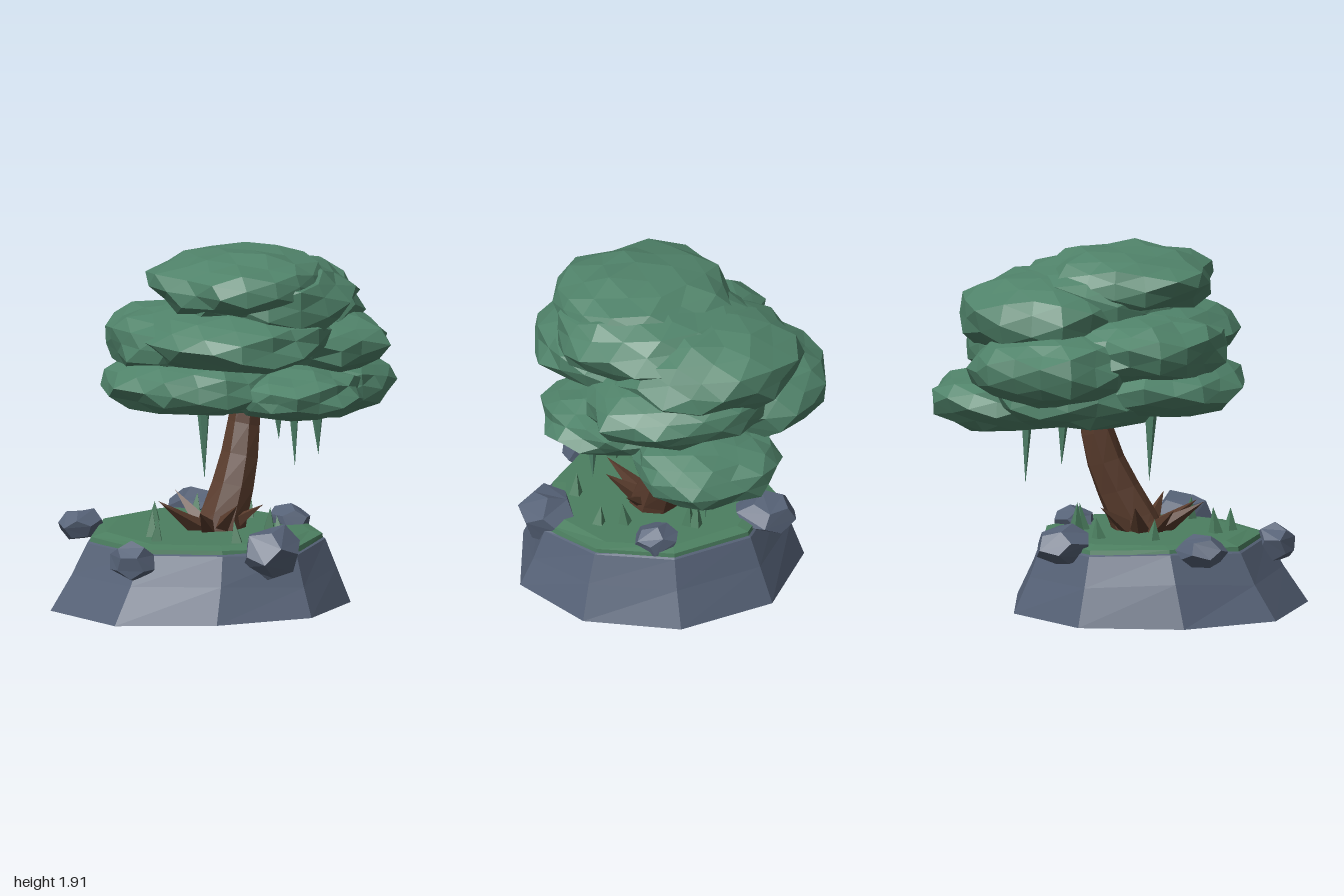
import * as THREE from 'three';
import { mergeVertices } from 'three/addons/utils/BufferGeometryUtils.js';

const V = (x, y, z) => new THREE.Vector3(x, y, z);

function material(name, color) {
  const m = new THREE.MeshStandardMaterial({ color, flatShading: true });
  m.name = name;
  return m;
}

// Repeatable pseudo-random generator, 0..1
function seeded(seed) {
  let s = seed * 7919 + 17;
  return () => (s = (s * 16807) % 2147483647) / 2147483647;
}

// Skin rings of points (bottom to top) and close both ends with a fan
function loft(rings) {
  const n = rings[0].length;
  const pos = [], idx = [];
  rings.forEach(r => r.forEach(p => pos.push(p.x, p.y, p.z)));
  for (let j = 0; j < rings.length - 1; j++) {
    for (let i = 0; i < n; i++) {
      const a = j * n + i, b = j * n + (i + 1) % n, c = b + n, d = a + n;
      idx.push(a, d, b, b, d, c);
    }
  }
  [0, rings.length - 1].forEach((j, top) => {
    const centre = rings[j].reduce((s, p) => s.add(p), V(0, 0, 0)).divideScalar(n);
    const k = pos.length / 3;
    pos.push(centre.x, centre.y, centre.z);
    for (let i = 0; i < n; i++) {
      const a = j * n + i, b = j * n + (i + 1) % n;
      idx.push(k, top ? b : a, top ? a : b);
    }
  });
  const g = new THREE.BufferGeometry();
  g.setAttribute('position', new THREE.Float32BufferAttribute(pos, 3));
  g.setIndex(idx);
  g.computeVertexNormals();
  return g;
}

// Weld a faceted unit solid and nudge every corner; power below 1 makes its sides blunter
function roughen(solid, amount, seed, power = 1) {
  solid.deleteAttribute('normal');
  solid.deleteAttribute('uv');
  const g = mergeVertices(solid, 1e-3);
  const rnd = seeded(seed), p = g.attributes.position, v = V(0, 0, 0);
  for (let i = 0; i < p.count; i++) {
    v.fromBufferAttribute(p, i);
    v.y = Math.sign(v.y) * Math.abs(v.y) ** power;
    v.multiplyScalar(1 + (rnd() - 0.5) * amount);
    p.setXYZ(i, v.x, v.y, v.z);
  }
  g.computeVertexNormals();
  return g;
}

export function createModel() {
  const model = new THREE.Group();
  model.name = 'tree on rock';
  const stone = material('stone', 0x566277);
  const leaf = material('leaf', 0x50836a);
  const grass = material('grass', 0x4c7f60);
  const bark = material('bark', 0x583b2c);

  function add(name, geometry, mat, parent = model) {
    const mesh = new THREE.Mesh(geometry, mat);
    mesh.name = name;
    parent.add(mesh);
    return mesh;
  }
  function group(name) {
    const g = new THREE.Group();
    g.name = name;
    model.add(g);
    return g;
  }
  // Cone from a base point to a tip
  function spike(name, base, tip, radius, sides, mat, parent) {
    const dir = tip.clone().sub(base);
    const g = new THREE.ConeGeometry(radius, dir.length(), sides);
    g.translate(0, dir.length() / 2, 0);
    const m = add(name, g, mat, parent);
    m.position.copy(base);
    m.quaternion.setFromUnitVectors(V(0, 1, 0), dir.normalize());
  }

  // Rock island: nine-sided, flaring to a slightly uneven foot
  const foot = [[0.55, 0.15], [0.29, 0.6], [-0.16, 0.77], [-0.64, 0.55], [-1, 0.15],
    [-0.92, -0.42], [-0.48, -0.72], [0.08, -0.75], [0.48, -0.4]];
  const islandRing = (sx, sz, y, wobble) => foot.map(([x, z], i) =>
    V(-0.2 + 0.12 * (1 - sx) + (x + 0.2) * sx, y + wobble * Math.sin(i * 2.3), z * sz));
  const footRing = islandRing(1, 1, 0.02, 0).map(p => V(p.x, p.y + 0.025 * p.z, p.z));
  add('rock base', loft([footRing, islandRing(0.86, 0.91, 0.21, 0.02),
    islandRing(0.765, 0.83, 0.365, 0.012), islandRing(0.7, 0.76, 0.395, 0)]), stone);
  add('grass top', loft([islandRing(0.755, 0.82, 0.34, 0), islandRing(0.745, 0.805, 0.395, 0.008),
    islandRing(0.66, 0.7, 0.412, 0)]), grass);

  // Boulders around the rim: position, then radii
  const boulders = group('boulders');
  [[-0.255, 0.37, 0.57, 0.18, 0.155, 0.16], [-0.83, 0.34, 0.11, 0.115, 0.105, 0.13],
    [-0.55, 0.4, -0.57, 0.14, 0.09, 0.11], [0.25, 0.42, 0.17, 0.12, 0.08, 0.13],
    [0.2, 0.4, -0.48, 0.16, 0.11, 0.17]].forEach(([x, y, z, rx, ry, rz], i) => {
    const solid = new THREE.DodecahedronGeometry(1);
    solid.rotateY(i * 1.3 + 0.3).rotateX(0.3);
    const b = add('boulder', roughen(solid, 0.14, i + 3), stone, boulders);
    b.position.set(x, y, z);
    b.scale.set(rx, ry, rz);
  });

  // Leaning trunk
  const lean = new THREE.CatmullRomCurve3([V(-0.13, 0.36, 0.03), V(-0.07, 0.5, 0.025),
    V(0.03, 0.7, 0.01), V(0.09, 0.88, -0.01), V(0.14, 1.15, -0.01)]);
  const trunkRings = [];
  for (let j = 0; j <= 5; j++) {
    const c = lean.getPoint(j / 5), r = 0.135 - 0.012 * j;
    trunkRings.push(Array.from({ length: 7 }, (_, i) => {
      const a = i / 7 * Math.PI * 2 + j * 0.06;
      return V(c.x + r * Math.cos(a), c.y - 0.3 * r * Math.cos(a), c.z + r * Math.sin(a));
    }));
  }
  add('trunk', loft(trunkRings), bark);

  // Pointed roots fanning out of the trunk foot
  const roots = group('roots');
  for (let i = 0; i < 8; i++) {
    const a = i / 8 * Math.PI * 2 + 0.12, r = 0.28 + 0.02 * Math.sin(i * 2.1);
    spike('root', V(-0.15 + 0.06 * Math.cos(a), 0.4, 0.06 * Math.sin(a)),
      V(-0.18 + r * Math.cos(a), 0.56 + 0.015 * Math.cos(i * 3), r * Math.sin(a)), 0.06, 4, bark, roots);
  }

  // Flattened leaf clouds: centre, then radii
  const canopy = group('canopy');
  [[-0.24, 1.21, -0.06, 0.44, 0.165, 0.49],
    [0.1, 1.16, 0.38, 0.36, 0.13, 0.35],
    [0.58, 1.085, 0.03, 0.41, 0.165, 0.4],
    [0.16, 1.17, -0.18, 0.45, 0.19, 0.42],
    [-0.13, 1.46, 0.14, 0.47, 0.17, 0.53],
    [0.4, 1.38, 0.12, 0.42, 0.17, 0.5],
    [0.28, 1.32, -0.35, 0.44, 0.21, 0.41],
    [-0.17, 1.42, -0.16, 0.45, 0.18, 0.45],
    [0.36, 1.57, -0.08, 0.46, 0.225, 0.5],
    [-0.05, 1.73, 0.12, 0.46, 0.175, 0.49],
    [0.1, 1.65, 0.12, 0.48, 0.2, 0.52]].forEach(([x, y, z, rx, ry, rz], i) => {
    const ball = new THREE.IcosahedronGeometry(1, 2);
    const c = add('leaf cloud', roughen(ball, 0.18, i + 11, 0.85), leaf, canopy);
    c.position.set(x, y, z);
    c.scale.set(rx, ry, rz);
  });

  // Hanging vines: x, z, tip height
  const vines = group('vines');
  [[-0.18, -0.02, 0.67], [0.16, 0.49, 0.83], [0.25, -0.25, 0.78], [0.48, -0.02, 0.64],
    [0.18, 0.17, 0.86]].forEach(([x, z, tip]) =>
    spike('vine', V(x - 0.01, 1.12, z), V(x, tip, z), 0.042, 5, leaf, vines));

  // Grass blades: x, z, height
  const blades = group('grass blades');
  [[-0.6, 0.05, 0.12], [-0.54, -0.05, 0.14], [-0.33, 0.38, 0.12], [0.03, 0.25, 0.12],
    [0.17, -0.05, 0.14], [0.2, -0.08, 0.15], [-0.25, -0.33, 0.11], [0.04, -0.32, 0.11],
    [-0.02, 0.38, 0.1]].forEach(([x, z, h], i) => spike('grass blade', V(x, 0.4, z),
    V(x + 0.015 * Math.sin(i * 2), 0.41 + h, z + 0.015 * Math.cos(i * 2)), 0.042, 4, grass, blades));

  return model;
}
